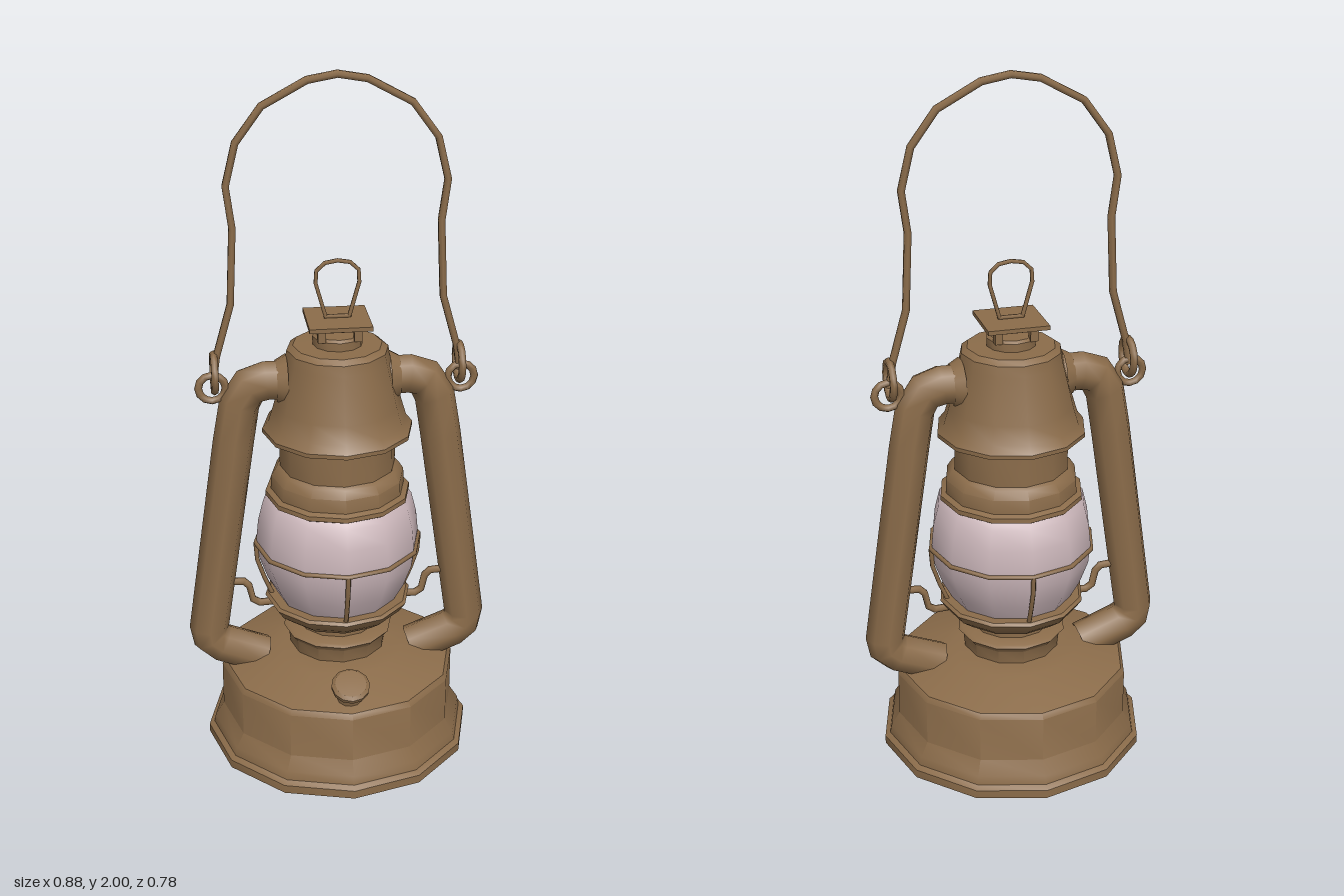
import * as THREE from 'three';
import { toCreasedNormals } from 'three/addons/utils/BufferGeometryUtils.js';

const brass = new THREE.MeshStandardMaterial({ color: 0x8b6c4a, side: THREE.DoubleSide });
const glass = new THREE.MeshStandardMaterial({ color: 0xcdb8bc, side: THREE.DoubleSide });

export function createModel() {
  const model = new THREE.Group();

  const add = (name, geometry, material = brass) => {
    const mesh = new THREE.Mesh(geometry, material);
    mesh.name = name;
    model.add(mesh);
    return mesh;
  };

  // Twelve-sided turned part from [radius, height] pairs
  const turned = (name, profile, material) => add(name, toCreasedNormals(
    new THREE.LatheGeometry(profile.map(([r, y]) => new THREE.Vector2(r, y)), 12), 0.62), material);

  // Tube with one ring of vertices at each path point
  const pipe = (name, points, radius, sides = 6, closed = false) => {
    const curve = new THREE.CatmullRomCurve3(points.map(([x, y, z = 0]) => new THREE.Vector3(x, y, z)), closed);
    curve.getPointAt = (t, v) => curve.getPoint(t, v);
    curve.getTangentAt = (t, v) => curve.getTangent(t, v);
    return add(name, new THREE.TubeGeometry(curve, points.length - (closed ? 0 : 1), radius, sides, closed));
  };

  // Fuel tank
  turned('fuelTank', [[0, 0], [0.39, 0], [0.39, 0.025], [0.375, 0.035], [0.37, 0.06], [0.345, 0.1],
    [0.345, 0.235], [0.335, 0.25], [0.2, 0.293], [0.16, 0.3], [0, 0.3]]);

  // Burner collar, neck and dish below the glass
  turned('burner', [[0.14, 0.295], [0.145, 0.34], [0.16, 0.358], [0.15, 0.365], [0.115, 0.37],
    [0.115, 0.392], [0.16, 0.408], [0.195, 0.435], [0.213, 0.462], [0.205, 0.47], [0, 0.465]]);

  // Glass globe
  turned('globe', [[0.175, 0.465], [0.205, 0.52], [0.23, 0.59], [0.236, 0.65], [0.23, 0.71],
    [0.215, 0.77], [0.2, 0.79]], glass);

  // Chimney above the glass
  turned('chimney', [[0, 0.785], [0.2, 0.785], [0.208, 0.79], [0.207, 0.803], [0.192, 0.81], [0.19, 0.85],
    [0.175, 0.873], [0.165, 0.88], [0.165, 1.0]]);

  // Flared hood
  turned('hood', [[0.165, 0.995], [0.213, 0.985], [0.213, 0.997], [0.195, 1.02], [0.18, 1.07],
    [0.148, 1.2], [0.142, 1.23], [0.125, 1.243], [0, 1.246]]);

  // Vent: collar, four posts and square lid
  turned('ventCollar', [[0.07, 1.24], [0.07, 1.268], [0.062, 1.275], [0, 1.275]]);
  for (const x of [-0.05, 0.05]) for (const z of [-0.05, 0.05]) {
    add('ventPost', new THREE.BoxGeometry(0.022, 0.045, 0.022)).position.set(x, 1.29, z);
  }
  add('ventLid', new THREE.BoxGeometry(0.174, 0.012, 0.174)).position.y = 1.313;
  add('ventLidUnderside', new THREE.BoxGeometry(0.125, 0.012, 0.125)).position.y = 1.303;

  // Wire loop for lifting the hood
  pipe('hoodLoop', [[-0.032, 1.32], [-0.06, 1.42], [-0.058, 1.455], [-0.035, 1.477], [0, 1.483],
    [0.035, 1.477], [0.058, 1.455], [0.06, 1.42], [0.032, 1.32]], 0.006);
  pipe('hoodLoopFoot', [[-0.035, 1.323], [0.035, 1.323]], 0.006);

  // Wire guard around the globe
  const ring = [];
  for (let i = 0; i < 12; i++) {
    const a = i * Math.PI / 6;
    ring.push([0.238 * Math.sin(a), 0.635, 0.238 * Math.cos(a)]);
  }
  pipe('guardRing', ring, 0.007, 6, true);
  for (let i = 0; i < 4; i++) {
    pipe('guardWire', [[0.19, 0.46], [0.215, 0.52], [0.235, 0.58], [0.239, 0.635]], 0.007)
      .rotation.y = i * Math.PI / 2;
  }

  // Parts repeated on both sides
  for (const s of [-1, 1]) {
    const side = (points) => points.map(([x, y]) => [s * x, y]);
    pipe('sideTube', side([[0.1, 1.14], [0.2, 1.142], [0.245, 1.128], [0.275, 1.08], [0.295, 0.96],
      [0.38, 0.37], [0.375, 0.335], [0.345, 0.31], [0.22, 0.26]]), 0.058, 8);

    // Flared joint at the hood
    const joint = add('tubeJoint', new THREE.CylinderGeometry(0.058, 0.075, 0.03, 12, 1, true));
    joint.position.set(s * 0.158, 1.14, 0);
    joint.rotation.z = -s * Math.PI / 2;

    // Fixed ring on the tube and hooked end of the handle
    const eye = add('tubeEye', new THREE.TorusGeometry(0.052, 0.011, 6, 14));
    eye.position.set(s * 0.343, 1.172, 0);
    eye.rotation.y = Math.PI / 2;
    add('handleHook', new THREE.TorusGeometry(0.038, 0.011, 6, 12)).position.set(s * 0.35, 1.127, 0);

    // Lever beside the burner
    pipe('lever', side([[0.17, 0.44], [0.23, 0.437], [0.25, 0.45], [0.26, 0.495], [0.275, 0.51], [0.305, 0.512]]), 0.011);
  }

  // Carrying handle
  const half = [[0.345, 1.15], [0.335, 1.22], [0.293, 1.37], [0.283, 1.585], [0.298, 1.7], [0.27, 1.815], [0.2, 1.91], [0.08, 1.975]];
  pipe('handle', [...half.map(([x, y]) => [-x, y]), [0, 1.989], ...half.slice().reverse()], 0.011);

  // Tilted filler cap on the front of the tank
  const filler = turned('fillerCap', [[0.04, -0.1], [0.035, -0.035], [0.054, -0.018], [0.055, -0.005], [0.045, 0.003], [0, 0.006]]);
  filler.position.set(0, 0.325, 0.297);
  filler.rotation.x = 0.4;

  return model;
}
